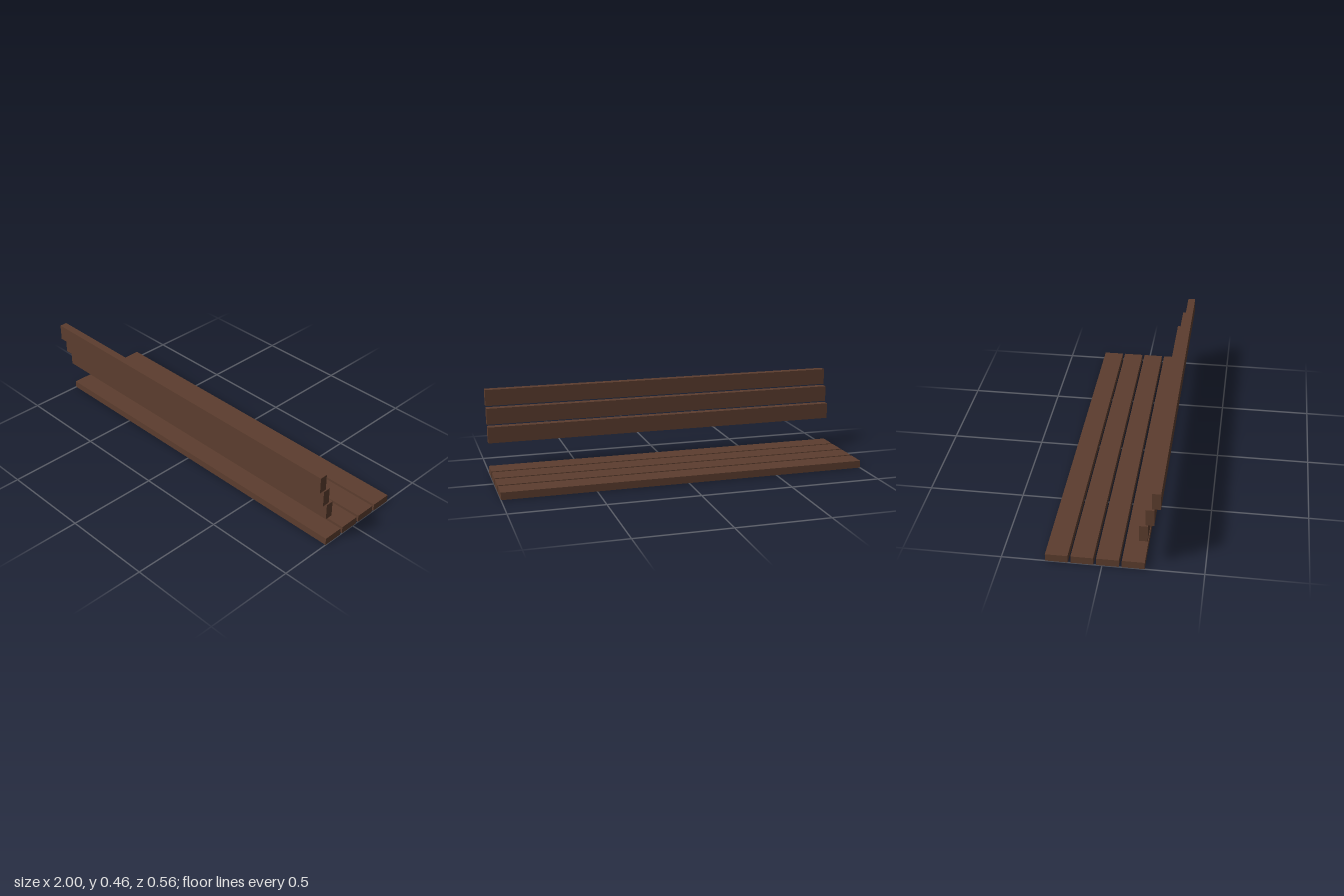
import * as THREE from 'three';

export function createModel() {
  const model = new THREE.Group();
  model.name = 'bench';
  const wood = new THREE.MeshStandardMaterial({ color: 0x5c3d2e });
  wood.name = 'dark brown wood';

  // One full-length plank, centred on x
  const plank = (name, height, depth, y, z) => {
    const mesh = new THREE.Mesh(new THREE.BoxGeometry(2, height, depth), wood);
    mesh.name = name;
    mesh.position.set(0, y, z);
    return mesh;
  };

  // Four flat seat slats with narrow gaps
  const seat = new THREE.Group();
  seat.name = 'seat';
  for (let i = 0; i < 4; i++) {
    seat.add(plank(`seatSlat${i + 1}`, 0.04, 0.112, 0.02, -0.225 + i * 0.126));
  }

  // Three upright backrest slats, each stepped outward from the one below
  const backrest = new THREE.Group();
  backrest.name = 'backrest';
  for (let i = 0; i < 3; i++) {
    backrest.add(plank(`backSlat${i + 1}`, 0.089, 0.042, 0.2195 + i * 0.0975, 0.201 + i * 0.03));
  }

  model.add(seat, backrest);
  return model;
}
